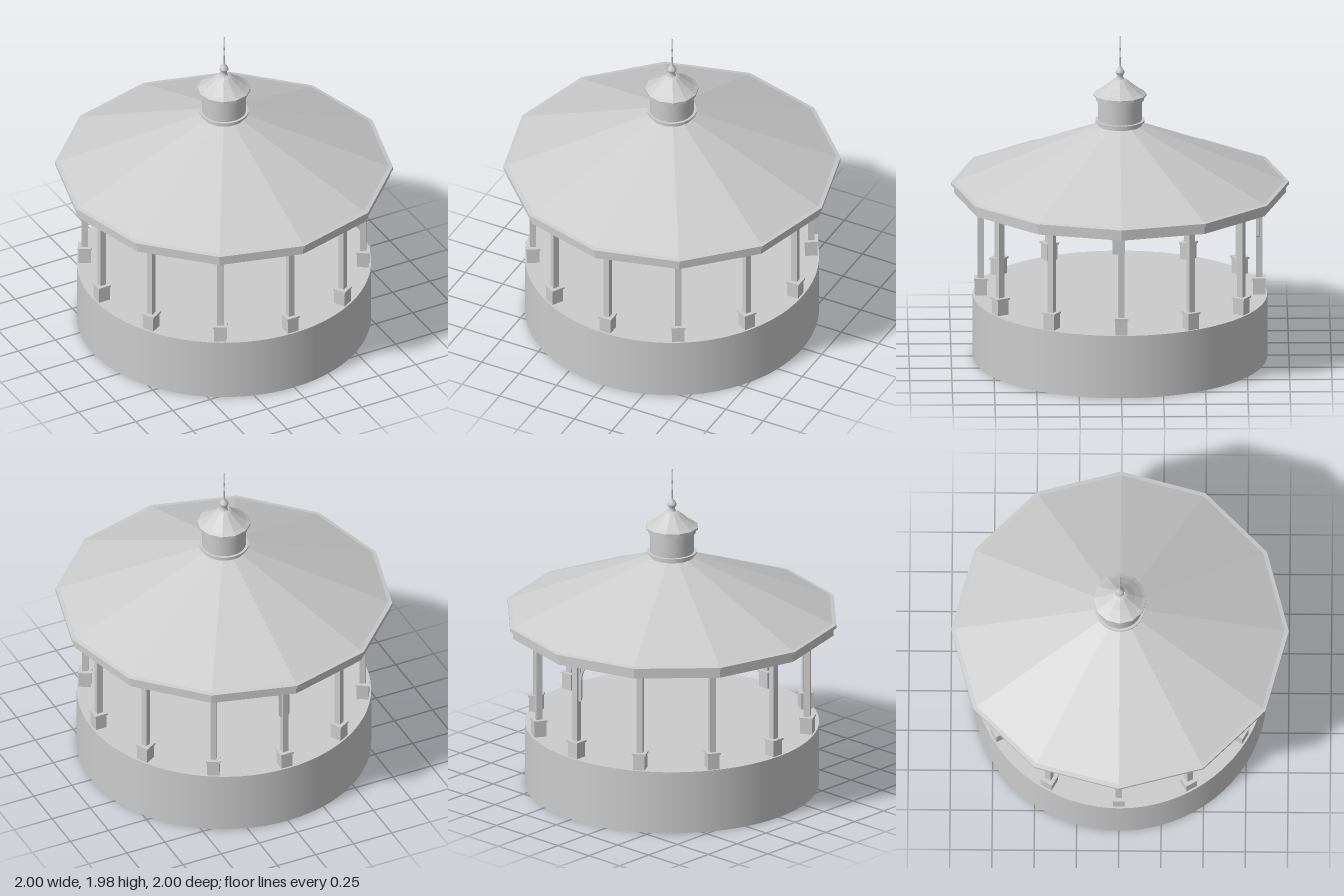
import * as THREE from 'three';

const SIDES = 12;
const POST_R = 0.824;
const smooth = new THREE.MeshStandardMaterial({ color: 0xcccccc, side: THREE.DoubleSide });
const flat = new THREE.MeshStandardMaterial({ color: 0xcccccc, side: THREE.DoubleSide, flatShading: true });

function add(parent, name, geometry, material = flat, y = 0) {
  const mesh = new THREE.Mesh(geometry, material);
  mesh.name = name;
  mesh.position.y = y;
  parent.add(mesh);
  return mesh;
}

const lathe = (points, sides) =>
  new THREE.LatheGeometry(points.map(([r, y]) => new THREE.Vector2(r, y)), sides);

// Box standing between two heights
function block(parent, name, width, y0, y1) {
  add(parent, name, new THREE.BoxGeometry(width, y1 - y0, width), flat, (y0 + y1) / 2);
}

// Post on a capped plinth
function makePost() {
  const post = new THREE.Group();
  post.name = 'post';
  block(post, 'plinth', 0.072, 0.385, 0.476);
  block(post, 'plinthCap', 0.083, 0.476, 0.488);
  block(post, 'shaft', 0.037, 0.488, 1.02);
  return post;
}

// Curved openwork bracket, profile drawn to the right of the post
function bracketGeometry() {
  const s = new THREE.Shape();
  s.moveTo(0.01, 1.005);
  s.lineTo(0.155, 1.005);
  s.lineTo(0.15, 0.985);
  s.bezierCurveTo(0.08, 0.985, 0.035, 0.95, 0.034, 0.86);
  s.lineTo(0.034, 0.755);
  s.quadraticCurveTo(0.034, 0.735, 0.01, 0.735);
  s.closePath();
  const hole = new THREE.Path();
  hole.moveTo(0.027, 0.915);
  hole.lineTo(0.027, 0.99);
  hole.lineTo(0.085, 0.99);
  hole.quadraticCurveTo(0.045, 0.97, 0.027, 0.915);
  s.holes.push(hole);
  const geometry = new THREE.ExtrudeGeometry(s, { depth: 0.014, bevelEnabled: false, curveSegments: 10 });
  return geometry.translate(0, 0, -0.007);
}

export function createModel() {
  const model = new THREE.Group();
  model.name = 'bandstand';

  // Round platform
  add(model, 'platform', new THREE.CylinderGeometry(0.872, 0.872, 0.385, 72), smooth, 0.1925);

  // Ring of posts
  for (let i = 0; i < SIDES; i++) {
    const holder = new THREE.Group();
    holder.name = 'postHolder';
    holder.rotation.y = (i / SIDES) * Math.PI * 2;
    const post = makePost();
    post.position.z = POST_R;
    holder.add(post);
    model.add(holder);
  }

  // Pair of brackets on the rear post, following the ring
  const bracket = bracketGeometry();
  for (const side of [1, -1]) {
    const half = new THREE.Group();
    half.name = side > 0 ? 'leftBracket' : 'rightBracket';
    half.position.z = -POST_R;
    half.scale.x = side;
    add(half, 'bracketPlate', bracket).rotation.y = -Math.PI / SIDES;
    model.add(half);
  }

  // Beam joining the post heads
  add(model, 'ringBeam', lathe([
    [0.845, 1.005], [0.845, 1.055], [0.803, 1.055], [0.803, 1.005], [0.845, 1.005],
  ], SIDES));

  // Twelve-sided roof with stepped fascia, open underneath
  add(model, 'roof', lathe([
    [0.955, 1.055], [0.955, 1.008], [0.982, 1.008], [0.982, 1.056],
    [1, 1.056], [1, 1.076], [0.975, 1.08], [0.13, 1.43],
  ], SIDES));
  add(model, 'roofLining', lathe([[0.955, 1.055], [0.13, 1.415]], SIDES));

  // Cupola drum and mouldings
  add(model, 'cupolaDrum', new THREE.CylinderGeometry(0.13, 0.13, 0.195, 48, 1, true), smooth, 1.5125);
  add(model, 'drumBaseRing', new THREE.CylinderGeometry(0.146, 0.146, 0.01, 48), smooth, 1.455)
    .geometry.dispose();
  model.getObjectByName('drumBaseRing').geometry = lathe([
    [0.13, 1.45], [0.146, 1.45], [0.146, 1.461], [0.13, 1.461],
  ], 48);
  model.getObjectByName('drumBaseRing').position.y = 0;
  model.getObjectByName('drumBaseRing').material = flat;
  add(model, 'drumCornice', lathe([
    [0.128, 1.582], [0.143, 1.585], [0.143, 1.61], [0.128, 1.61],
  ], 48));

  // Flared cupola roof
  add(model, 'cupolaRoof', lathe([
    [0, 1.608], [0.158, 1.608], [0.158, 1.62], [0.135, 1.633],
    [0.09, 1.666], [0.045, 1.705], [0.03, 1.713], [0, 1.713],
  ], SIDES));

  // Finial with bulb, spike and bead
  add(model, 'finial', lathe([
    [0.026, 1.708], [0.02, 1.72], [0.016, 1.735], [0.026, 1.748], [0.027, 1.757],
    [0.02, 1.772], [0.01, 1.782], [0.005, 1.8], [0.004, 1.885], [0.007, 1.895],
    [0.004, 1.905], [0.002, 1.978], [0, 1.978],
  ], 16), smooth);

  return model;
}
